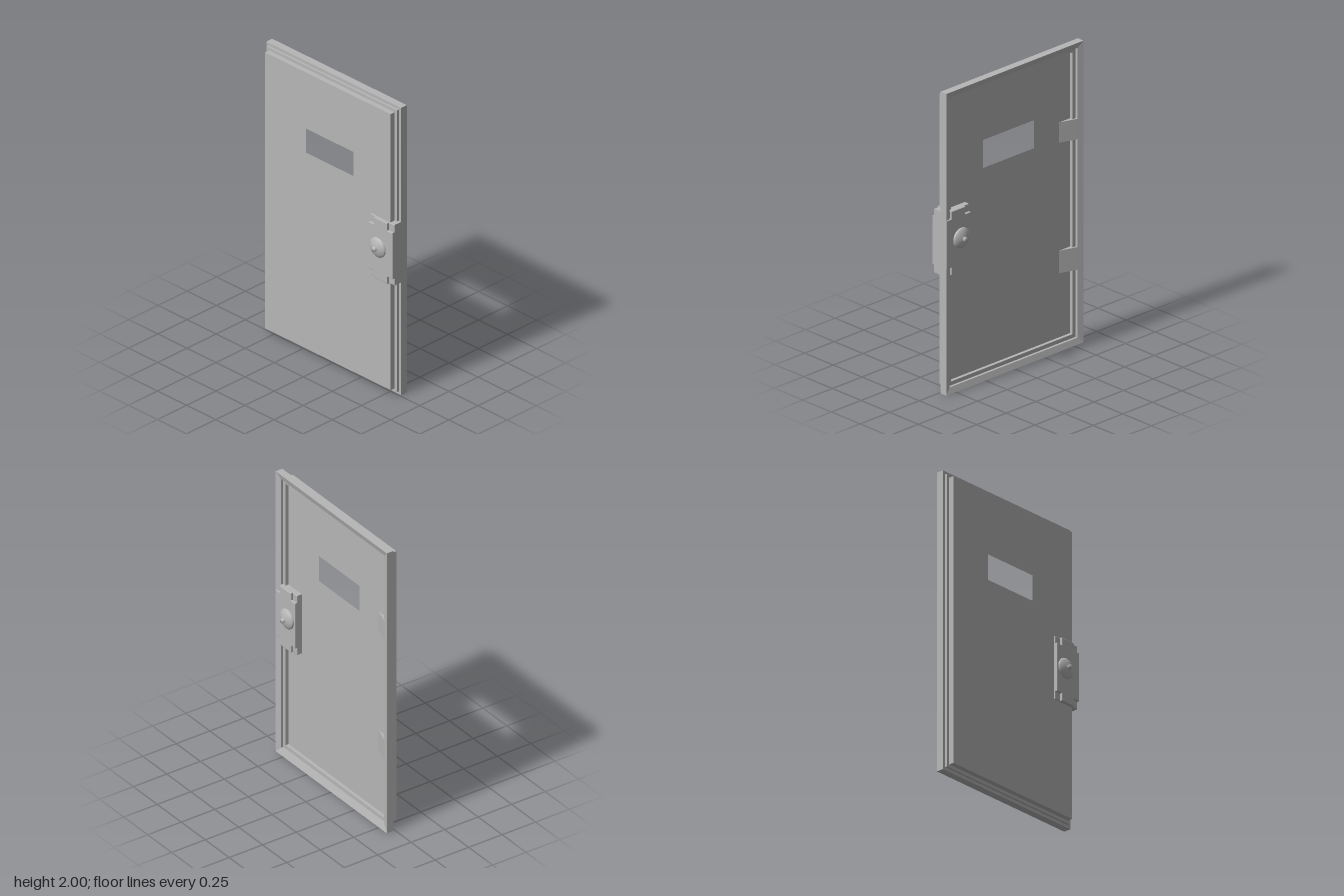
import * as THREE from 'three';

const steel = new THREE.MeshStandardMaterial({ color: 0xb6b6b6 });
steel.name = 'grey steel';

function add(parent, name, geometry) {
  const mesh = new THREE.Mesh(geometry, steel);
  mesh.name = name;
  parent.add(mesh);
  return mesh;
}

// Outline given as [z, y] points, extruded along x from x0 to x1
function slab(points, x0, x1, hole, bevel = 0) {
  const toVec = ([z, y]) => new THREE.Vector2(-z, y);
  const shape = new THREE.Shape(points.map(toVec));
  if (hole) shape.holes.push(new THREE.Path(hole.map(toVec)));
  const geo = new THREE.ExtrudeGeometry(shape, {
    depth: x1 - x0 - 2 * bevel, bevelEnabled: bevel > 0,
    bevelSize: bevel, bevelThickness: bevel, bevelOffset: -bevel, bevelSegments: 2,
  });
  return geo.rotateY(Math.PI / 2).translate(x0 + bevel, 0, 0);
}

const rect = (z0, z1, y0, y1) => [[z0, y0], [z1, y0], [z1, y1], [z0, y1]];

// Sweeps an [inset, x] profile around the mitred door rectangle
function frameGeometry(profile, halfWidth, height) {
  const corners = [[1, 0], [1, 1], [-1, 1], [-1, 0]];
  const point = (p, c) => [p[1], c[1] ? height - p[0] : p[0], c[0] * (halfWidth - p[0])];
  const pos = [];
  profile.forEach((p, j) => {
    const q = profile[(j + 1) % profile.length];
    corners.forEach((c, i) => {
      const n = corners[(i + 1) % 4];
      const a = point(p, c), b = point(p, n), e = point(q, n), d = point(q, c);
      pos.push(...a, ...e, ...b, ...a, ...d, ...e);
    });
  });
  const geo = new THREE.BufferGeometry();
  geo.setAttribute('position', new THREE.Float32BufferAttribute(pos, 3));
  geo.computeVertexNormals();
  return geo;
}

export function createModel() {
  const group = new THREE.Group();
  group.name = 'door';

  // Stepped door leaf with its window opening
  const opening = rect(-0.225, 0.22, 1.375, 1.57);
  add(group, 'backPanel', slab(rect(-0.54, 0.54, 0.04, 1.96), -0.04, -0.005, opening));
  add(group, 'middlePanel', slab(rect(-0.56, 0.56, 0.02, 1.98), -0.005, 0.01, opening));

  // Sloped rim with a stepped inner edge
  add(group, 'rim', frameGeometry([
    [0, 0.01], [0, 0.06], [0.04, 0.048], [0.04, 0.032], [0.066, 0.032], [0.066, 0.01],
  ], 0.58, 2));

  // Wedge shaped hinge ramps
  for (const [y0, y1] of [[0.49, 0.64], [1.355, 1.49]]) {
    const wedge = new THREE.Shape([
      new THREE.Vector2(0.01, 0.42), new THREE.Vector2(0.048, 0.54), new THREE.Vector2(0.01, 0.54),
    ]);
    const geo = new THREE.ExtrudeGeometry(wedge, { depth: y1 - y0, bevelEnabled: false });
    add(group, 'hingeRamp', geo.rotateX(-Math.PI / 2).translate(0, y0, 0));
  }

  // Lock case: full core plus face plates with notched corners
  const lock = new THREE.Group();
  lock.name = 'lock';
  group.add(lock);
  const [z0, z1, y0, y1] = [0.375, 0.58, 0.785, 1.207];
  const nz = 0.045, ny = 0.05;
  add(lock, 'lockCase', slab(rect(z0, z1, y0, y1), -0.048, 0.046, null, 0.004));
  const notched = [
    [z0 + nz, y0], [z1 - nz, y0], [z1 - nz, y0 + ny], [z1, y0 + ny],
    [z1, y1 - ny], [z1 - nz, y1 - ny], [z1 - nz, y1], [z0 + nz, y1],
    [z0 + nz, y1 - ny], [z0, y1 - ny], [z0, y0 + ny], [z0 + nz, y0 + ny],
  ];
  add(lock, 'lockPlates', slab(notched, -0.064, 0.061, null, 0.004));

  // Round knobs on both faces
  const profile = [
    [0.067, 0.055], [0.067, 0.068], [0.062, 0.073], [0.052, 0.08],
    [0.034, 0.087], [0.016, 0.091], [0.015, 0.092], [0.015, 0.106], [0, 0.106],
  ].map(([r, h]) => new THREE.Vector2(r, h));
  for (const side of [1, -1]) {
    const geo = new THREE.LatheGeometry(profile, 32).rotateZ(-side * Math.PI / 2);
    add(lock, 'knob', geo.translate(0, 1.01, 0.455));
  }

  return group;
}
